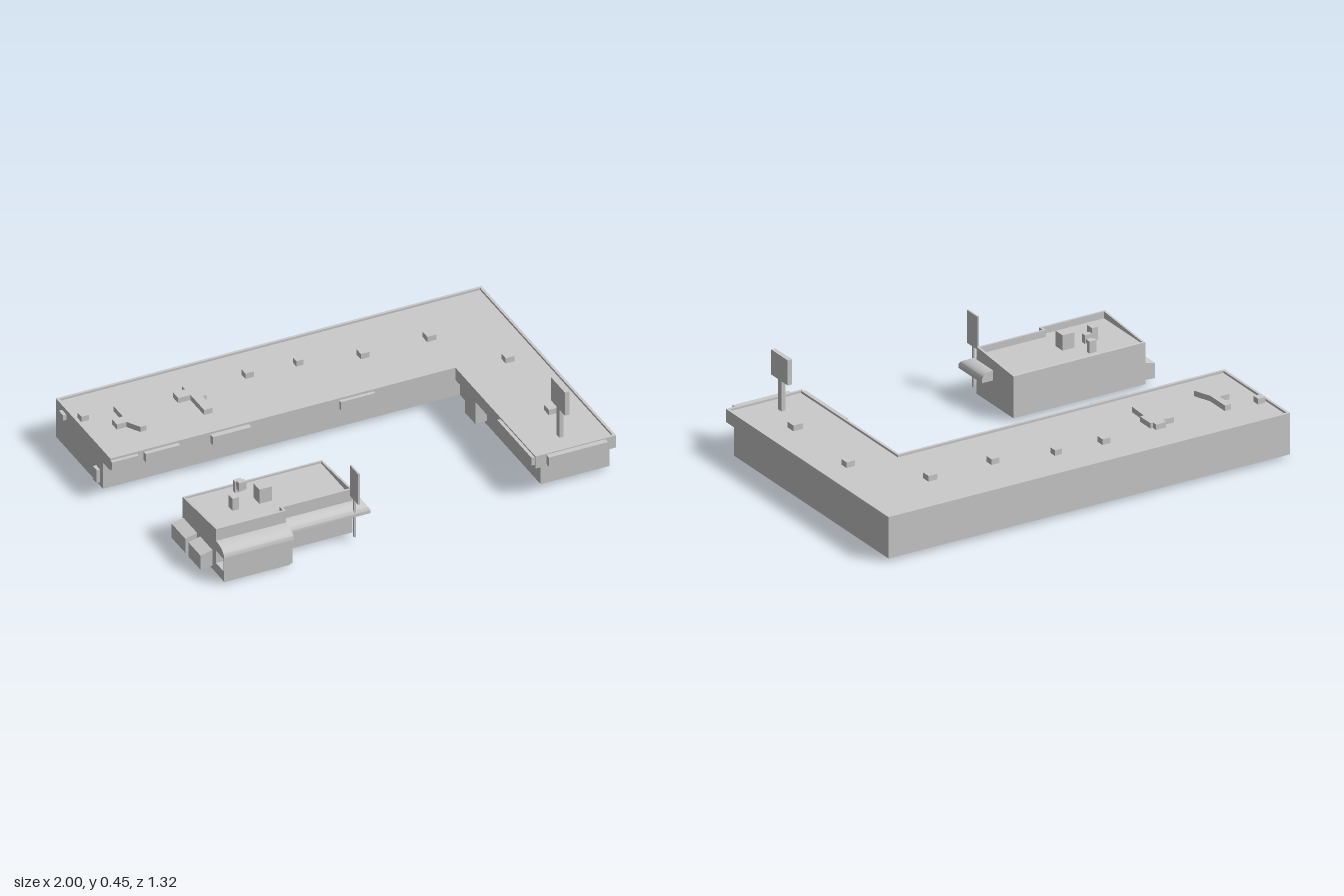
import * as THREE from 'three';
import { toCreasedNormals } from 'three/addons/utils/BufferGeometryUtils.js';

const grey = new THREE.MeshStandardMaterial({ color: 0xcccccc, side: THREE.DoubleSide });

function add(parent, name, geometry) {
  const mesh = new THREE.Mesh(geometry, grey);
  mesh.name = name;
  parent.add(mesh);
  return mesh;
}

// Box given by its limits on each axis
function box(parent, name, x0, x1, y0, y1, z0, z1) {
  const g = new THREE.BoxGeometry(x1 - x0, y1 - y0, z1 - z0);
  g.translate((x0 + x1) / 2, (y0 + y1) / 2, (z0 + z1) / 2);
  return add(parent, name, g);
}

// Floor plan of [x, z] corners raised from y0 to y1, with an optional hole
function prism(plan, y0, y1, hole) {
  const points = (p) => p.map(([x, z]) => new THREE.Vector2(x, -z));
  const shape = new THREE.Shape(points(plan));
  if (hole) shape.holes.push(new THREE.Path(points(hole)));
  const g = new THREE.ExtrudeGeometry(shape, { depth: y1 - y0, bevelEnabled: false });
  return g.rotateX(-Math.PI / 2).translate(0, y0, 0);
}

// Inset of a right-angled plan whose corners run +x first, then +z
function inset(plan, t) {
  return plan.map(([x, z], i) => {
    const [px, pz] = plan[(i + plan.length - 1) % plan.length];
    const [nx, nz] = plan[(i + 1) % plan.length];
    const dx = Math.sign(x - px) + Math.sign(nx - x);
    const dz = Math.sign(z - pz) + Math.sign(nz - z);
    return [x - dz * t, z + dx * t];
  });
}

// Rounded awning swept along a plan path of [x, z, outward x, outward z]
function awning(path, width, y0, y1) {
  const profile = [[0, y0], [0, y1]];
  for (let i = 1; i <= 8; i++) {
    const a = (i / 8) * Math.PI / 2;
    profile.push([width * Math.sin(a), y0 + 0.012 + (y1 - y0 - 0.012) * Math.cos(a)]);
  }
  profile.push([width, y0]);
  const n = profile.length, pos = [], idx = [];
  for (const [x, z, ox, oz] of path)
    for (const [d, y] of profile) pos.push(x + ox * d, y, z + oz * d);
  for (let s = 0; s < path.length - 1; s++)
    for (let i = 0; i < n; i++) {
      const a = s * n + i, b = s * n + (i + 1) % n;
      idx.push(a, a + n, b, b, a + n, b + n);
    }
  const last = (path.length - 1) * n;
  for (let i = 1; i < n - 1; i++) {
    idx.push(0, i, i + 1);
    idx.push(last, last + i + 1, last + i);
  }
  const g = new THREE.BufferGeometry();
  g.setAttribute('position', new THREE.Float32BufferAttribute(pos, 3));
  g.setIndex(idx);
  return toCreasedNormals(g, 0.6);
}

function mainBuilding() {
  const g = new THREE.Group();
  g.name = 'mainBuilding';
  const lPlan = (x, zWing, zLeg) => [
    [-0.985, -0.66], [0.995, -0.66], [0.995, zLeg], [x, zLeg], [x, zWing], [-0.985, zWing]];
  const wall = lPlan(0.675, -0.21, 0.56);
  const canopy = lPlan(0.62, -0.14, 0.625);

  // Open-bottomed walls, overhanging canopy and sunken roof
  add(g, 'lowerWalls', prism(wall, 0.02, 0.15, inset(wall, 0.008)));
  add(g, 'canopyFascia', prism(canopy, 0.15, 0.21, inset(canopy, 0.012)));
  add(g, 'roof', prism(inset(canopy, 0.01), 0.195, 0.2));
  const inner = inset(wall, 0.014);
  add(g, 'canopySoffit', prism(inset(canopy, 0.003), 0.15, 0.154, inner));

  // Roof vents
  for (const [x, z, s] of [[-0.945, -0.48, 0.036], [-0.18, -0.48, 0.04], [0.05, -0.47, 0.034],
    [0.32, -0.405, 0.04], [0.63, -0.405, 0.044], [0.85, -0.11, 0.04], [0.84, 0.325, 0.046]])
    box(g, 'roofVent', x - s / 2, x + s / 2, 0.198, 0.226, z - s / 2, z + s / 2);

  // Roof ducts
  add(g, 'forkedDuct', prism([[-0.805, -0.48], [-0.775, -0.48], [-0.775, -0.365], [-0.745, -0.285],
    [-0.775, -0.285], [-0.81, -0.345], [-0.855, -0.345], [-0.855, -0.39], [-0.805, -0.39]], 0.198, 0.225));
  add(g, 'bentDuct', prism([[-0.48, -0.49], [-0.43, -0.49], [-0.43, -0.465], [-0.417, -0.465],
    [-0.417, -0.385], [-0.435, -0.385], [-0.44, -0.285], [-0.478, -0.285], [-0.478, -0.415],
    [-0.535, -0.415], [-0.535, -0.465], [-0.48, -0.465]], 0.198, 0.225));

  // Blank sign panels on the fascia
  for (const [x0, x1, z] of [[-0.985, -0.86, -0.124], [-0.83, -0.67, -0.12],
    [-0.52, -0.34, -0.115], [0.08, 0.24, -0.124]])
    box(g, 'fasciaPanel', x0, x1, 0.16, 0.2, -0.142, z);
  box(g, 'frontPanel', 0.67, 0.945, 0.16, 0.205, 0.62, 0.65);
  box(g, 'innerPanel', 0.605, 0.622, 0.165, 0.203, 0.29, 0.618);

  // Wall fittings
  box(g, 'entrancePorch', 0.62, 0.68, 0.04, 0.152, -0.05, 0.05);
  box(g, 'wallLamp', -1, -0.98, 0.16, 0.187, -0.6, -0.56);
  box(g, 'wallCabinet', -1, -0.98, 0.035, 0.1, -0.275, -0.24);

  // Raised roof sign
  box(g, 'signPole', 0.78, 0.8, 0.198, 0.345, 0.498, 0.524);
  box(g, 'signBoard', 0.78, 0.802, 0.34, 0.455, 0.445, 0.577);
  return g;
}

function kiosk() {
  const g = new THREE.Group();
  g.name = 'kiosk';
  const plan = [[-0.845, 0.26], [-0.195, 0.26], [-0.195, 0.55], [-0.52, 0.55], [-0.52, 0.58], [-0.845, 0.58]];

  // Walls whose parapet rises towards the front
  const walls = prism(plan, 0.02, 0.21, inset(plan, 0.01));
  const p = walls.attributes.position;
  for (let i = 0; i < p.count; i++)
    if (p.getY(i) > 0.1) p.setY(i, 0.212 + 0.024 * Math.min(1, (p.getZ(i) - 0.26) / 0.28));
  walls.computeVertexNormals();
  add(g, 'walls', walls);
  add(g, 'roof', prism(inset(plan, 0.008), 0.2, 0.205));

  // Rounded awnings
  add(g, 'bayAwning', awning([[-0.845, 0.578, 0, 1], [-0.52, 0.578, 0, 1]], 0.078, 0.13, 0.178));
  add(g, 'cornerAwning', awning(
    [[-0.52, 0.548, 0, 1], [-0.197, 0.548, 1, 1], [-0.197, 0.42, 1, 0]], 0.058, 0.132, 0.178));

  // Front bay: counter and window sheet
  box(g, 'bayCounter', -0.845, -0.525, 0.02, 0.068, 0.575, 0.655);
  box(g, 'bayPlinth', -0.835, -0.53, 0.005, 0.02, 0.585, 0.64);
  box(g, 'bayWindow', -0.845, -0.525, 0.06, 0.135, 0.651, 0.656);

  // Side bins with sloping lids
  for (const [z0, z1] of [[0.27, 0.4], [0.43, 0.545]]) {
    const shape = new THREE.Shape([[-0.9, 0.03], [-0.84, 0.035], [-0.84, 0.115], [-0.9, 0.1]]
      .map(([x, y]) => new THREE.Vector2(x, y)));
    add(g, 'sideBin', new THREE.ExtrudeGeometry(shape, { depth: z1 - z0, bevelEnabled: false }).translate(0, 0, z0));
  }

  // Rooftop equipment
  box(g, 'roofUnit', -0.575, -0.515, 0.2, 0.275, 0.385, 0.44);
  box(g, 'roofChimney', -0.7, -0.67, 0.2, 0.265, 0.4, 0.44);
  box(g, 'elbowDuctStem', -0.63, -0.595, 0.2, 0.26, 0.3, 0.32);
  box(g, 'elbowDuctLink', -0.625, -0.6, 0.24, 0.257, 0.318, 0.34);
  box(g, 'elbowDuctHead', -0.63, -0.595, 0.235, 0.275, 0.335, 0.358);

  // Blade sign on a slim post
  box(g, 'bladePost', -0.214, -0.206, 0.03, 0.22, 0.592, 0.604);
  box(g, 'bladeSign', -0.214, -0.206, 0.215, 0.367, 0.563, 0.643);
  return g;
}

export function createModel() {
  const model = new THREE.Group();
  model.name = 'shoppingPlaza';
  model.add(mainBuilding(), kiosk());
  return model;
}
